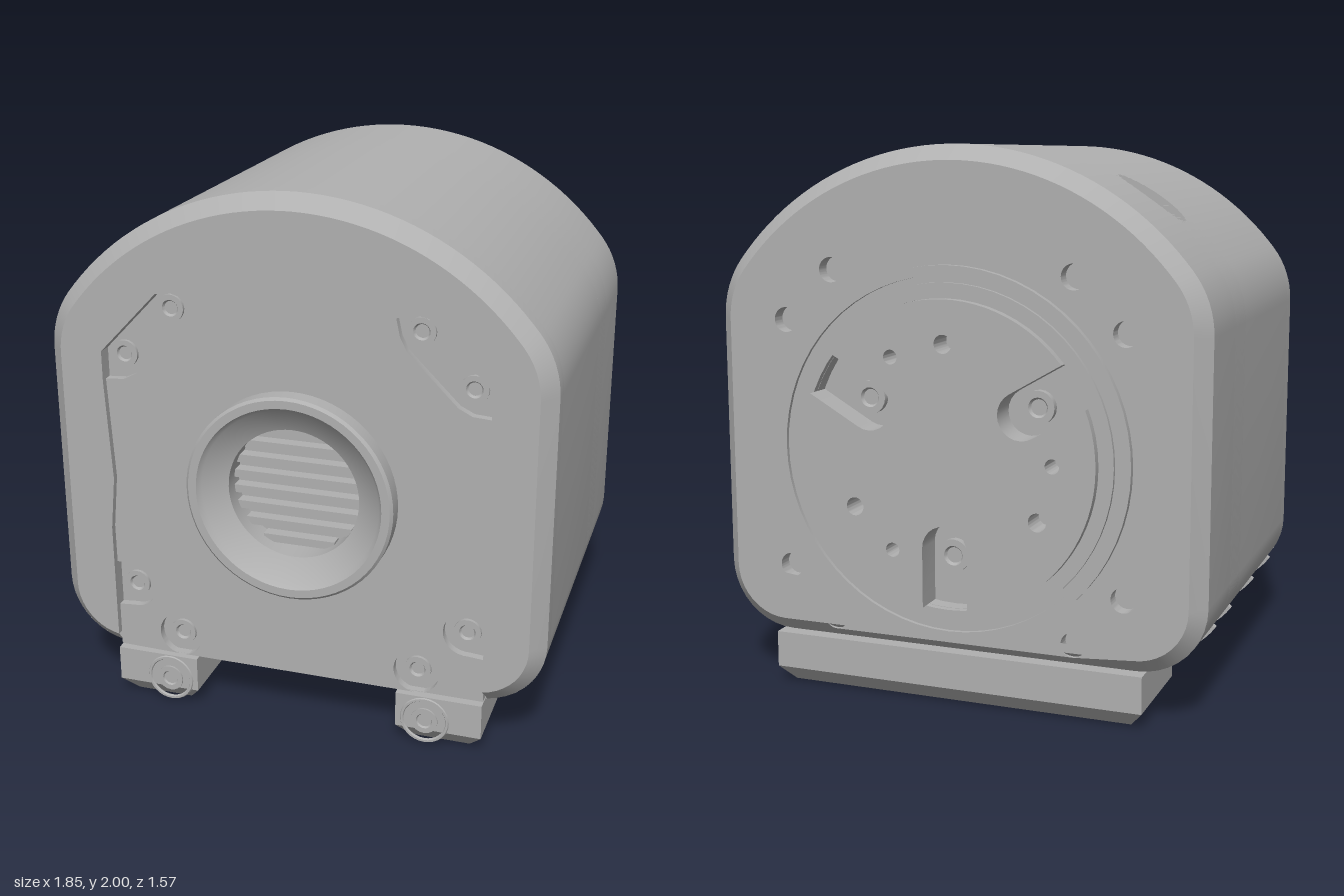
import * as THREE from 'three';
import { toCreasedNormals } from 'three/addons/utils/BufferGeometryUtils.js';

const CY = 0.92; // height of the main axis
const V = (x, y) => new THREE.Vector2(x, y);

export function createModel() {
  const model = new THREE.Group();
  const metal = new THREE.MeshStandardMaterial({ color: 0xb0b0b0, side: THREE.DoubleSide });
  metal.name = 'plain grey';

  const add = (name, geo, crease = 0.5) => {
    const mesh = new THREE.Mesh(toCreasedNormals(geo, crease), metal);
    mesh.name = name;
    model.add(mesh);
    return mesh;
  };
  const slab = (shape, z0, z1) => new THREE.ExtrudeGeometry(shape, {
    depth: z1 - z0, bevelEnabled: false, curveSegments: 32,
  }).translate(0, 0, z0);
  const circle = (x, y, r) => new THREE.Path().absarc(x, y, r, 0, Math.PI * 2, true);
  const arc = (cx, cy, r, a0, a1, n) => Array.from({ length: n + 1 }, (_, i) => {
    const a = THREE.MathUtils.degToRad(a0 + (a1 - a0) * i / n);
    return V(cx + r * Math.cos(a), cy + r * Math.sin(a));
  });
  const mirrored = (half) => [...half, ...half.map((p) => V(-p.x, p.y)).reverse()];

  // Housing outline: bottom right corner, side, shoulder, domed top, mirrored
  const outline = (inset, start = -90) => mirrored([
    ...arc(0.675, 0.445, 0.25 - inset, start, 0, 10),
    ...arc(0.575, 1.37, 0.35 - inset, 0, 38, 8),
    ...arc(0, CY, 1.08 - inset, 40, 89, 20),
  ]);
  const chamfer = (outer, inner, z0, z1, closed) => {
    const pos = [], idx = [], n = outer.length;
    for (let i = 0; i < n; i++) pos.push(outer[i].x, outer[i].y, z0, inner[i].x, inner[i].y, z1);
    for (let i = 0; i < (closed ? n : n - 1); i++) {
      const a = 2 * i, b = 2 * ((i + 1) % n);
      if (z1 > z0) idx.push(a, b, a + 1, b, b + 1, a + 1);
      else idx.push(a, a + 1, b, b, a + 1, b + 1);
    }
    const g = new THREE.BufferGeometry();
    g.setAttribute('position', new THREE.Float32BufferAttribute(pos, 3));
    g.setIndex(idx);
    g.computeVertexNormals();
    return g;
  };

  // Main housing, with a slice-by-slice round side port in the dome
  const portZ = -0.27, portY = 1.81, portR = 0.083, slices = 14;
  const front = new THREE.Shape(outline(0));
  add('housingRear', slab(front, -0.675, portZ - portR));
  const bore = new THREE.Shape(outline(0));
  bore.holes.push(circle(0, CY, 0.3));
  add('housingMiddle', slab(front, portZ + portR, 0.62));
  add('housingFront', slab(bore, 0.62, 0.685));
  const onDome = (y) => V(-Math.sqrt(1.08 ** 2 - (y - CY) ** 2), y);
  for (let i = 0; i < slices; i++) {
    const a0 = Math.PI * i / slices, a1 = Math.PI * (i + 1) / slices;
    const h = portR * Math.sin((a0 + a1) / 2), lo = portY - h, hi = portY + h;
    const pts = outline(0);
    const first = pts.findIndex((p) => p.x < 0 && p.y < hi);
    const last = pts.findIndex((p) => p.x < 0 && p.y < lo);
    pts.splice(first, last - first, onDome(hi), V(-0.35, hi), V(-0.35, lo), onDome(lo));
    add('portSlice', slab(new THREE.Shape(pts), portZ - portR * Math.cos(a0), portZ - portR * Math.cos(a1)));
  }

  // Front rim: chamfer and face around a pocket that is open at the bottom
  add('frontChamfer', chamfer(outline(0, -80), outline(0.055, -80), 0.685, 0.74, false));
  const pocket = mirrored([V(0.709, 0.2), V(0.71, 0.7), V(0.69, 0.9), V(0.71, 1.28), V(0.71, 1.39),
    V(0.49, 1.62), V(0.44, 1.63), V(0.37, 1.61), V(0.02, 1.625)]);
  const rim = [...outline(0.055, -80), ...pocket.slice(1, -1).reverse()];
  add('frontRim', slab(new THREE.Shape(rim), 0.685, 0.74));

  // Front panel with notched corner seats and round screw recesses
  const panel = new THREE.Shape(mirrored([
    V(0.709, 0.2), V(0.709, 0.37), V(0.65, 0.375), ...arc(0.64, 0.46, 0.085, 265, 95, 12),
    V(0.709, 0.55), V(0.71, 0.7), V(0.69, 0.9), V(0.71, 1.28), V(0.64, 1.285), V(0.59, 1.31),
    V(0.41, 1.49), V(0.385, 1.54), V(0.37, 1.61), V(0.02, 1.625),
  ]));
  panel.holes.push(circle(0, CY, 0.37));
  for (const s of [1, -1]) panel.holes.push(circle(s * 0.46, 0.28, 0.085));
  add('frontPanel', slab(panel, 0.685, 0.715));

  // Shaft collar and the slatted disc inside it
  const collar = [V(0.385, 0.69), V(0.385, 0.775), V(0.375, 0.785), V(0.345, 0.785), V(0.33, 0.765),
    V(0.245, 0.72), V(0.245, 0.61)];
  add('shaftCollar', new THREE.LatheGeometry(collar, 64).rotateX(Math.PI / 2).translate(0, CY, 0));
  for (let i = 0; i < 8; i++) {
    const y = -0.21 + i * 0.06;
    const w = 2 * Math.sqrt(0.25 ** 2 - y * y);
    add('boreSlat', new THREE.BoxGeometry(w, 0.03, 0.05).translate(0, CY + y, 0.64));
  }

  // Screws with sunken sockets
  const bolts = [[0.455, 0.64], [0.64, 0.455], [0.64, -0.46], [0.46, -0.64]];
  const screwProfile = [V(0.05, -0.01), V(0.05, 0.012), V(0.03, 0.012), V(0.024, 0.002), V(0, 0.002)];
  const screw = (name, x, y, z) => add(name,
    new THREE.LatheGeometry(screwProfile, 20).rotateX(Math.PI / 2).translate(x, y, z));
  for (const s of [1, -1]) {
    for (const [x, y] of bolts) screw('panelScrew', s * x, CY + y, 0.685);
    screw('footScrew', s * 0.5, 0.1, 0.735);
    add('footScrewSeat', new THREE.TorusGeometry(0.085, 0.008, 6, 32).translate(s * 0.5, 0.1, 0.738));
  }

  // Rear face with bolt holes and chamfer
  add('rearChamfer', chamfer(outline(0), outline(0.055), -0.675, -0.73, true));
  const rear = new THREE.Shape(outline(0.055));
  rear.holes.push(circle(0, CY, 0.555));
  for (const s of [1, -1]) {
    for (const [x, y] of bolts) rear.holes.push(circle(s * x, CY + y, 0.045));
  }
  add('rearFace', slab(rear, -0.73, -0.675));

  // Rear flange ring with a shallow groove
  const ring = (r0, r1) => {
    const s = new THREE.Shape().absarc(0, CY, r1, 0, Math.PI * 2);
    s.holes.push(circle(0, CY, r0));
    return s;
  };
  add('flangeOuter', slab(ring(0.635, 0.67), -0.755, -0.7301));
  add('flangeGroove', slab(ring(0.61, 0.635), -0.74, -0.7301));
  add('flangeInner', slab(ring(0.556, 0.61), -0.755, -0.7301));

  // Rear disc with three arched slots and three pairs of small holes
  const discPts = [];
  const half = 0.085, gap = THREE.MathUtils.radToDeg(Math.asin(half / 0.555));
  for (const a of [30, 150, 270]) {
    const t = THREE.MathUtils.degToRad(a);
    const cx = 0.33 * Math.cos(t), cy = 0.33 * Math.sin(t);
    discPts.push(...arc(cx, CY + cy, half, a + 270, a + 90, 12));
    discPts.push(...arc(0, CY, 0.555, a + gap, a + 120 - gap, 24));
  }
  const disc = new THREE.Shape(discPts);
  for (const a of [60, 90, 180, 210, 300, 330]) {
    const t = THREE.MathUtils.degToRad(a);
    disc.holes.push(circle(0.4 * Math.cos(t), CY + 0.4 * Math.sin(t), a % 60 ? 0.033 : 0.026));
  }
  add('rearDisc', slab(disc, -0.785, -0.675));
  for (const a of [30, 150, 270]) {
    const t = THREE.MathUtils.degToRad(a);
    add('slotScrew', new THREE.LatheGeometry(screwProfile, 20).scale(1.2, 1.2, 1.2).rotateX(-Math.PI / 2)
      .translate(0.37 * Math.cos(t), CY + 0.37 * Math.sin(t), -0.69));
  }

  // Mounting base: waisted plate with two front feet and a central window
  const baseHalf = (inset) => [V(0.39 + inset, 0.38 - inset), V(0.39 + inset, 0.74 - inset),
    V(0.71 - inset, 0.74 - inset), V(0.71 - inset, 0.3 + inset), V(0.67 - inset, 0.25 + inset),
    V(0.6 - inset, 0.22 + inset), V(0.6 - inset, -0.13 - inset), V(0.64 - inset, -0.2 - inset),
    V(0.71 - inset, -0.32 - inset), V(0.71 - inset, -0.73 + inset)];
  const window = new THREE.Path([V(-0.13, -0.08), V(-0.13, 0.18), V(0.13, 0.18), V(0.13, -0.08)]);
  const upper = new THREE.Shape(mirrored(baseHalf(0)));
  upper.holes.push(window);
  add('basePlate', slab(upper, 0, 0.135).rotateX(Math.PI / 2).translate(0, 0.195, 0), 0.3);
  const lower = new THREE.Shape(mirrored(baseHalf(0.05)));
  lower.holes.push(window);
  add('baseUnderside', new THREE.ExtrudeGeometry(lower, {
    depth: 0.02, bevelSize: 0.05, bevelThickness: 0.06, bevelSegments: 1,
  }).rotateX(Math.PI / 2).translate(0, 0.08, 0), 0.3);
  add('windowPost', new THREE.BoxGeometry(0.1, 0.16, 0.1).translate(0, 0.12, 0.05));

  // Underside bolt rings and thin ribs around the lower corners
  for (const s of [1, -1]) {
    for (const [x, z] of [[0.58, -0.6], [0.58, -0.45], [0.5, 0.55]]) {
      add('baseBoltRing', new THREE.TorusGeometry(0.032, 0.008, 6, 20).rotateX(Math.PI / 2)
        .translate(s * x, 0.002, z));
    }
    for (const z of [0.58, 0.25, -0.15, -0.4]) {
      const rib = new THREE.Shape([
        ...arc(0.675, 0.445, 0.262, -90, -35, 10), ...arc(0.675, 0.445, 0.24, -35, -90, 10)]);
      const g = slab(rib, z - 0.013, z + 0.013);
      if (s < 0) g.rotateY(Math.PI).translate(0, 0, 2 * z);
      add('cornerRib', g);
    }
  }
  return model;
}
